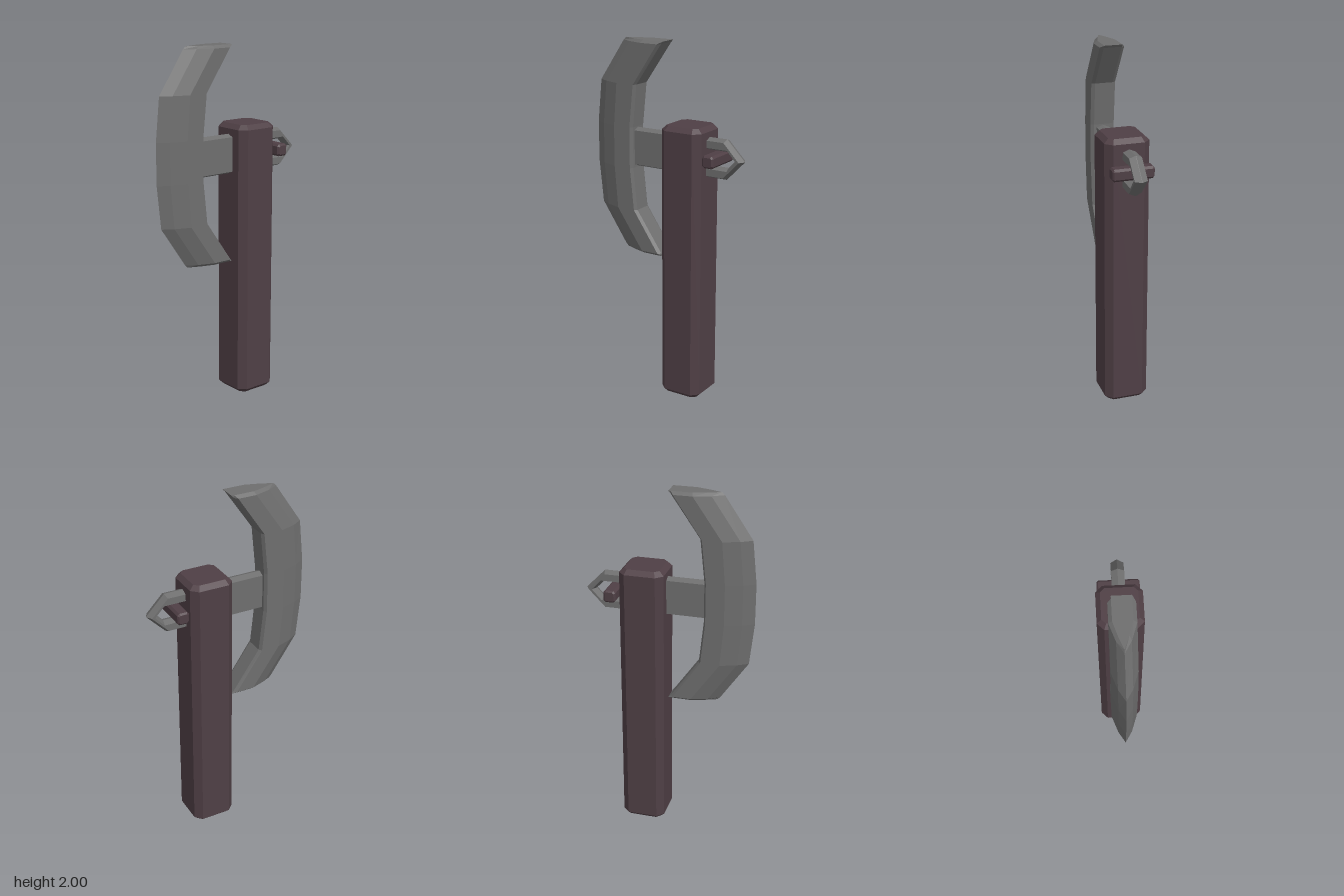
import * as THREE from 'three';

const steel = new THREE.MeshStandardMaterial({ color: 0x6e6e6e, flatShading: true });
steel.name = 'steel grey';
const wood = new THREE.MeshStandardMaterial({ color: 0x4f3f45, flatShading: true });
wood.name = 'dark wood';

function part(name, geometry, material) {
  const mesh = new THREE.Mesh(geometry, material);
  mesh.name = name;
  return mesh;
}

// Extrusion along z, centred, with one flat bevel kept inside the outline
function bevelled(shape, length, thickness, size) {
  const depth = length - 2 * thickness;
  const g = new THREE.ExtrudeGeometry(shape, {
    depth, bevelEnabled: true, bevelSegments: 1,
    bevelThickness: thickness, bevelSize: size, bevelOffset: -size,
  });
  return g.translate(0, 0, -depth / 2);
}

const shapeOf = (pts) => new THREE.Shape(pts.map(([x, y]) => new THREE.Vector2(x, y)));

// Square outline with cut corners
function octagon(half, cut) {
  const a = half, b = half - cut;
  return shapeOf([[a, -b], [a, b], [b, a], [-b, a], [-a, b], [-a, -b], [-b, -a], [b, -a]]);
}

// Curved blade lofted through horizontal cross-sections
function bladeGeometry() {
  // height above centre, half width, then z of back, back bevel, shoulder, cheek, edge
  const upper = [
    [0.115, 0.068, 0.205, 0.217, 0.32, 0.412, 0.475],
    [0.355, 0.068, 0.18, 0.192, 0.3, 0.39, 0.45],
    [0.585, 0.068, 0.02, 0.035, 0.14, 0.232, 0.294],
    [0.6, 0.05, 0.006, 0.02, 0.135, 0.21, 0.278],
  ];
  const lower = upper.map(([y, ...rest]) => [-y, ...rest]).reverse();
  const rows = [...lower, ...upper];
  const positions = [], indices = [], n = 9;
  for (const [y, w, back, bevel, shoulder, cheek, edge] of rows) {
    const side = [[w * 0.54, cheek], [w, shoulder], [w, bevel], [Math.min(w, 0.05), back]];
    const ring = [[0, edge], ...side, ...side.map(([x, z]) => [-x, z]).reverse()];
    for (const [x, z] of ring) positions.push(x, 1.4 + y, z);
  }
  for (let r = 0; r < rows.length - 1; r++) {
    for (let i = 0; i < n; i++) {
      const a = r * n + i, b = r * n + (i + 1) % n;
      indices.push(a, b, b + n, a, b + n, a + n);
    }
  }
  const top = (rows.length - 1) * n;
  for (let i = 1; i < n - 1; i++) {
    indices.push(top, top + i, top + i + 1, 0, i + 1, i);
  }
  const g = new THREE.BufferGeometry();
  g.setAttribute('position', new THREE.Float32BufferAttribute(positions, 3));
  g.setIndex(indices);
  const flat = g.toNonIndexed();
  flat.computeVertexNormals();
  return flat;
}

export function createModel() {
  const model = new THREE.Group();
  model.name = 'axe';

  // Handle
  const handle = part('handle', bevelled(octagon(0.124, 0.038), 1.56, 0.025, 0.025), wood);
  handle.geometry.rotateX(-Math.PI / 2).translate(0, 0.785, -0.133);
  model.add(handle);

  // Blade
  model.add(part('blade', bladeGeometry(), steel));

  // Shank through the handle, ending in a pointed eye (outline in z, y)
  const outline = shapeOf([[0.22, 1.29], [0.22, 1.51], [-0.365, 1.51], [-0.472, 1.4], [-0.365, 1.29]]);
  outline.holes.push(new THREE.Path([[-0.2, 1.357], [-0.2, 1.443], [-0.375, 1.443], [-0.415, 1.4], [-0.375, 1.357]]
    .map(([z, y]) => new THREE.Vector2(z, y))));
  const shank = part('shank', bevelled(outline, 0.07, 0.034, 0.014), steel);
  shank.geometry.rotateY(-Math.PI / 2);
  model.add(shank);

  // Locking peg through the eye
  const peg = part('peg', bevelled(octagon(0.034, 0.012), 0.23, 0.009, 0.009), wood);
  peg.geometry.rotateY(Math.PI / 2).translate(0, 1.4, -0.308);
  model.add(peg);

  return model;
}
